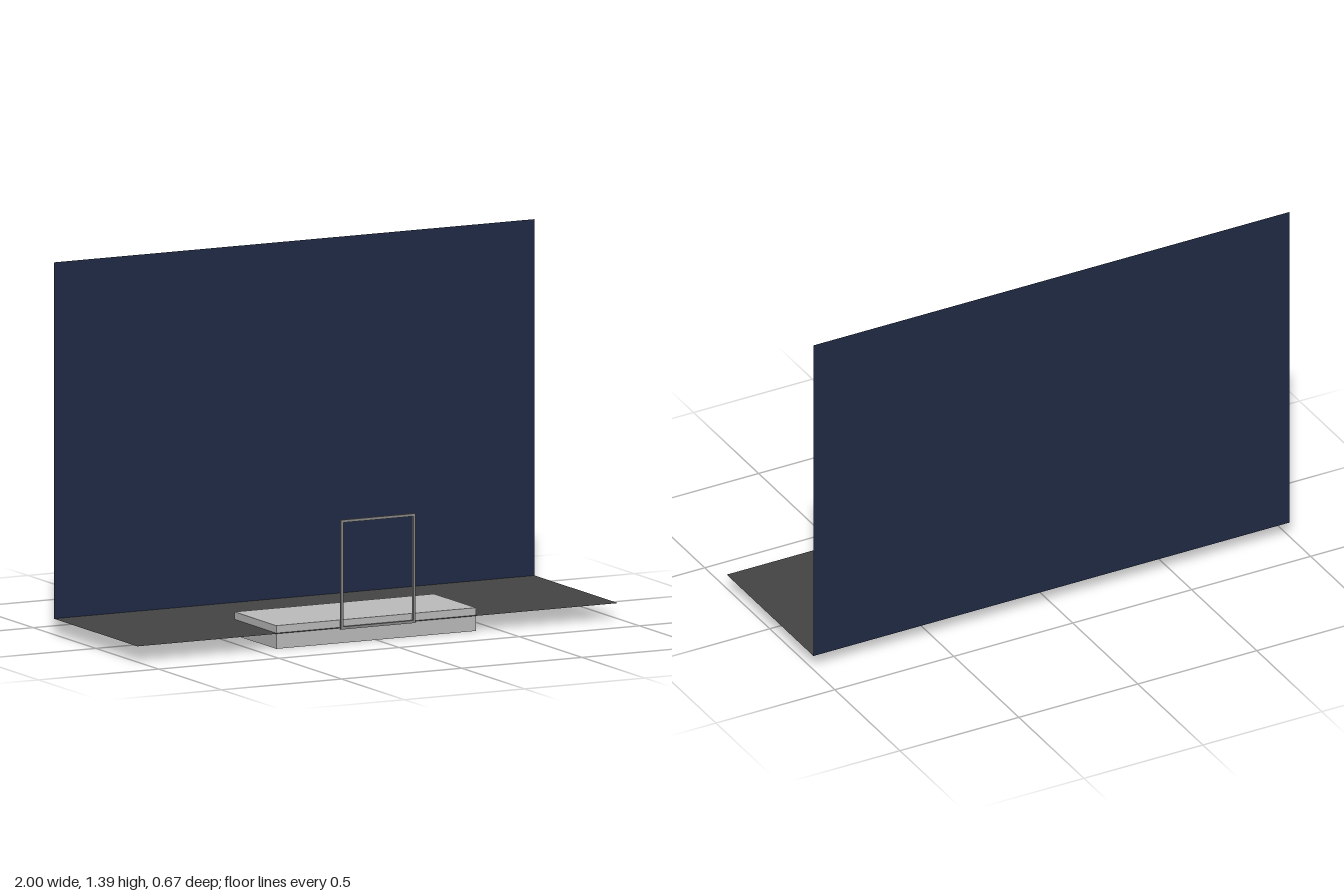
import * as THREE from 'three';

const FLOOR_Y = 0.059, BACK_Z = -0.336, FRONT_Z = 0.331;

function material(name, color, side = THREE.FrontSide) {
  return new THREE.MeshStandardMaterial({ name, color, side });
}

export function createModel() {
  const model = new THREE.Group();
  const navy = material('navy', 0x1f2a44, THREE.DoubleSide);
  const charcoal = material('charcoal', 0x444444, THREE.DoubleSide);
  const paleGrey = material('pale grey', 0xbbbbbb);
  const midGrey = material('mid grey', 0x888888);

  function add(parent, name, geometry, mat, x, y, z) {
    const mesh = new THREE.Mesh(geometry, mat);
    mesh.name = name;
    mesh.position.set(x, y, z);
    parent.add(mesh);
    return mesh;
  }

  // Upright backdrop sheet and the floor sheet meeting its lower edge
  const wallHeight = 1.334, floorDepth = FRONT_Z - BACK_Z;
  add(model, 'backWall', new THREE.PlaneGeometry(2, wallHeight), navy,
    0, FLOOR_Y + wallHeight / 2, BACK_Z);
  add(model, 'floor', new THREE.PlaneGeometry(2, floorDepth).rotateX(-Math.PI / 2), charcoal,
    0, FLOOR_Y, (FRONT_Z + BACK_Z) / 2);

  // Low block passing through the floor
  add(model, 'platform', new THREE.BoxGeometry(0.83, 0.087, 0.333), paleGrey, 0, 0.0435, 0.15);

  // Thin open frame standing on the front edge
  const frame = new THREE.Group();
  frame.name = 'doorFrame';
  frame.position.set(0, FLOOR_Y, FRONT_Z);
  model.add(frame);
  const bar = 0.01, width = 0.3, height = 0.4;
  for (const side of [-1, 1]) {
    add(frame, side > 0 ? 'leftPost' : 'rightPost',
      new THREE.BoxGeometry(bar, height - bar, bar), midGrey, side * width / 2, height / 2, 0);
  }
  for (const [name, y] of [['bottomRail', 0], ['topRail', height]]) {
    add(frame, name, new THREE.BoxGeometry(width + bar, bar, bar), midGrey, 0, y, 0);
  }

  return model;
}
